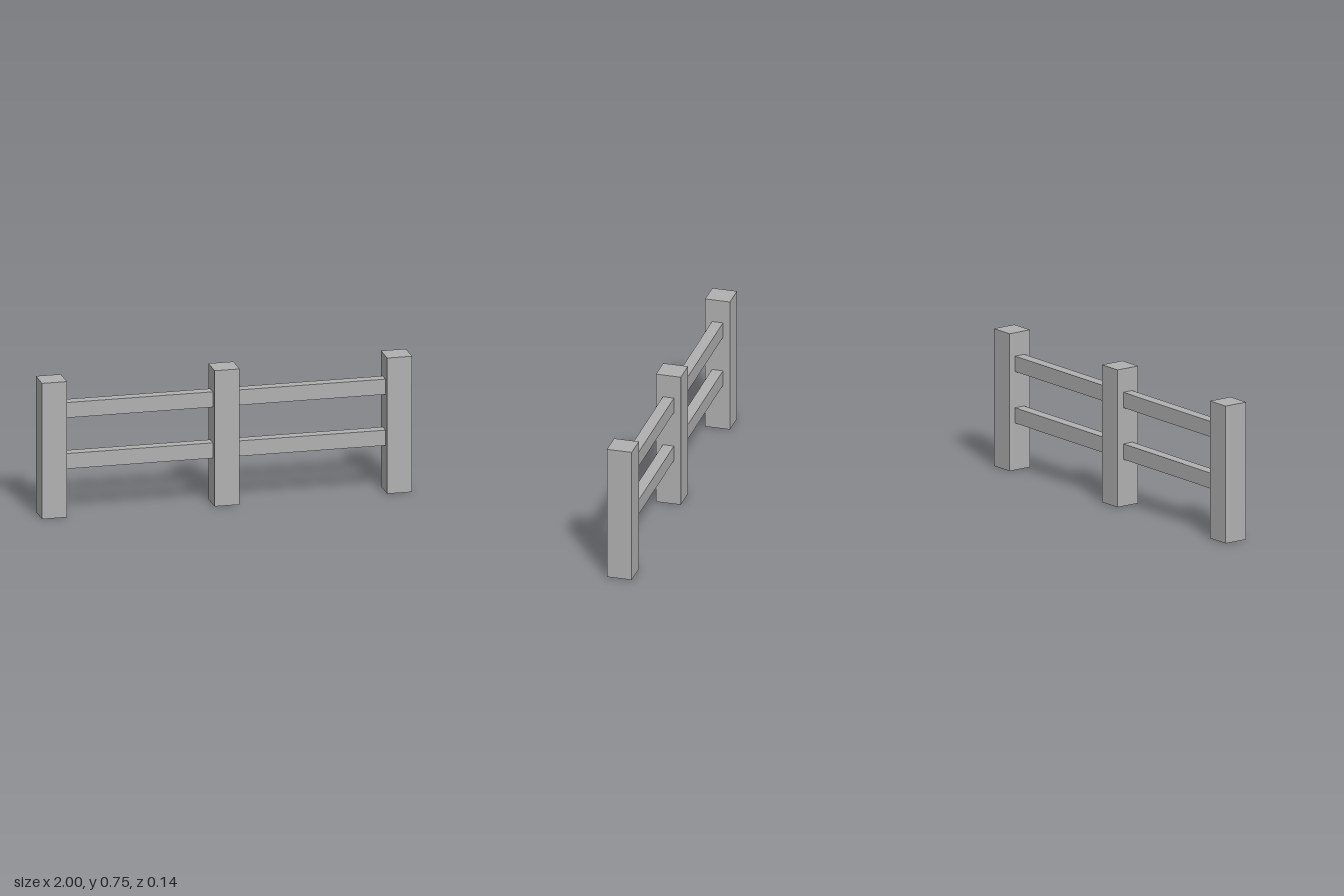
import * as THREE from 'three';

const POST = 0.135, HEIGHT = 0.745;
const RAIL_HEIGHT = 0.084, RAIL_DEPTH = 0.06;

export function createModel() {
  const fence = new THREE.Group();
  fence.name = 'fence';
  const grey = new THREE.MeshStandardMaterial({ color: 0xb0b0b0 });
  grey.name = 'fence grey';

  const addBox = (name, size, position) => {
    const mesh = new THREE.Mesh(new THREE.BoxGeometry(...size), grey);
    mesh.name = name;
    mesh.position.set(...position);
    fence.add(mesh);
  };

  // Three square posts
  const spacing = 1 - POST / 2;
  [['rightPost', -1], ['middlePost', 0], ['leftPost', 1]].forEach(([name, i]) =>
    addBox(name, [POST, HEIGHT, POST], [i * spacing, HEIGHT / 2, 0]));

  // Two rails in each bay, butting against the posts
  const railLength = spacing - POST;
  for (const [side, sign] of [['right', -1], ['left', 1]]) {
    for (const [level, y] of [['Lower', 0.296], ['Upper', 0.576]]) {
      addBox(`${side}${level}Rail`, [railLength, RAIL_HEIGHT, RAIL_DEPTH], [sign * spacing / 2, y, 0]);
    }
  }
  return fence;
}
